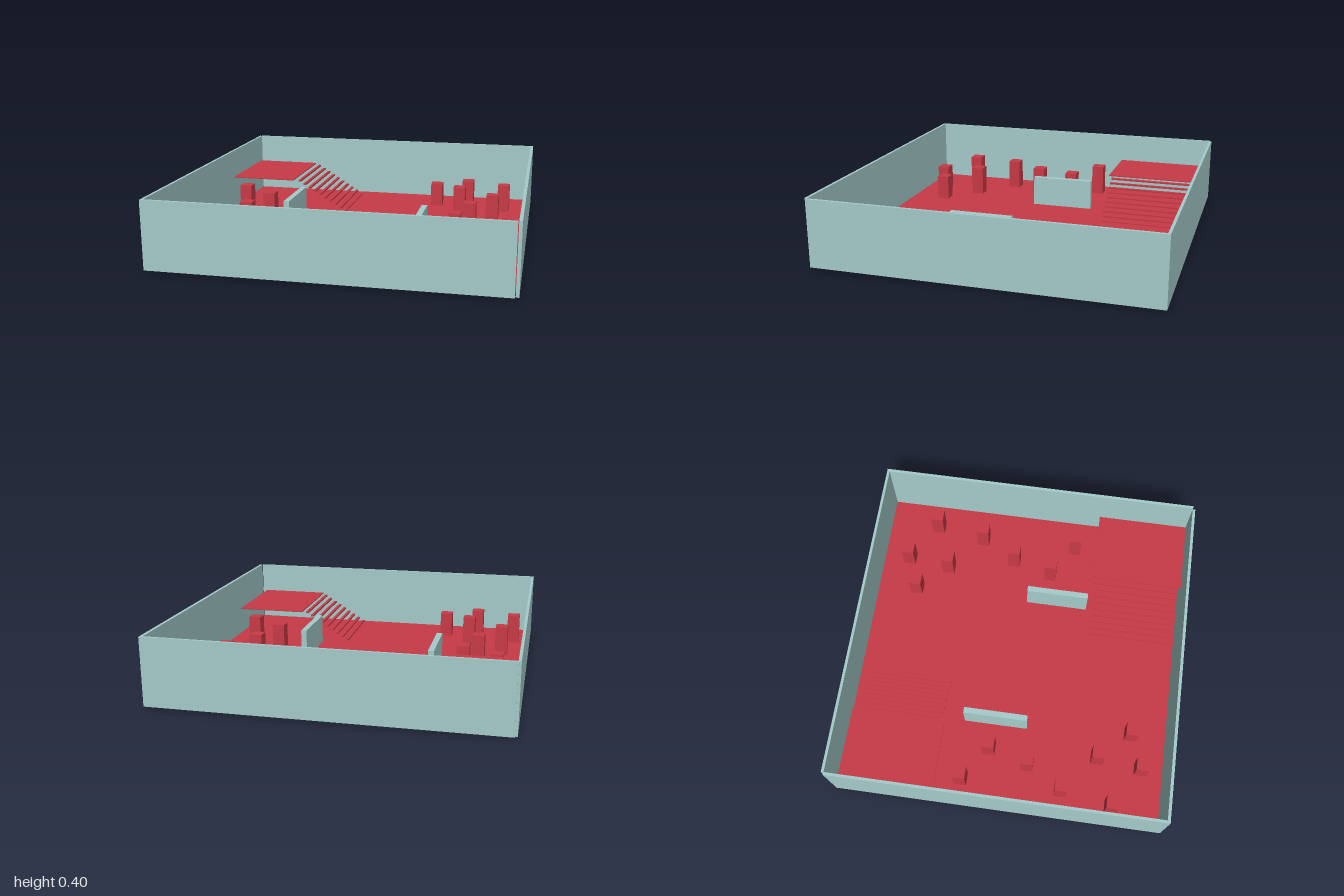
import * as THREE from 'three';

export function createModel() {
  const model = new THREE.Group();
  model.name = 'walledArena';
  const red = new THREE.MeshStandardMaterial({ color: 0xc83a46 });
  const teal = new THREE.MeshStandardMaterial({ color: 0xa5cccb });

  // Box given by its min and max on each axis
  function block(name, material, [x0, x1], [y0, y1], [z0, z1], parent = model) {
    const mesh = new THREE.Mesh(new THREE.BoxGeometry(x1 - x0, y1 - y0, z1 - z0), material);
    mesh.position.set((x0 + x1) / 2, (y0 + y1) / 2, (z0 + z1) / 2);
    mesh.name = name;
    parent.add(mesh);
    return mesh;
  }

  // Floor slab
  block('floor', red, [-0.982, 0.978], [0.012, 0.018], [-0.973, 0.968]);

  // Outer walls, overlapping in a pinwheel at the corners
  const wallY = [0.01, 0.403];
  block('frontWall', teal, [-0.998, 0.976], wallY, [0.967, 0.984]);
  block('backWall', teal, [-0.984, 0.98], wallY, [-0.99, -0.974]);
  block('leftWall', teal, [0.98, 0.998], wallY, [-0.99, 0.97]);
  block('rightWall', teal, [-0.998, -0.982], wallY, [-0.976, 0.967]);

  // Free-standing cover walls
  block('coverWallRight', teal, [-0.478, -0.443], [0.009, 0.205], [-0.272, 0.115]);
  block('coverWallLeft', teal, [0.365, 0.4], [0.009, 0.2], [0.002, 0.386]);

  // Raised platform with a flight of floating steps descending from it
  function flight(name, platformX, platformZ, topY, firstX, dx, lowY, stepZ) {
    const group = new THREE.Group();
    group.name = name;
    block('platform', red, platformX, [topY - 0.006, topY], platformZ, group);
    const count = 10;
    for (let i = 0; i < count; i++) {
      const x = firstX + dx * i;
      const y = lowY + (topY - 0.012 - lowY) * (1 - i / (count - 1));
      block('step', red, [x - 0.009, x + 0.009], [y - 0.005, y + 0.005], stepZ, group);
    }
    model.add(group);
    return group;
  }
  const backStairs = flight('backStairs', [-0.98, -0.558], [-0.93, -0.37], 0.226,
    -0.522, 0.0345, 0.02, [-0.905, -0.395]);
  // The back flight sits very slightly askew
  const pivot = new THREE.Vector3(-0.6, 0, -0.65);
  backStairs.rotation.y = -0.009;
  backStairs.position.copy(pivot).sub(pivot.clone().applyEuler(backStairs.rotation));
  flight('frontStairs', [0.511, 0.945], [0.4, 0.96], 0.215,
    0.483, -0.0345, 0.005, [0.425, 0.935]);

  // Pillars: x, z, top height
  const pillars = [
    [-0.838, -0.24, 0.21], [-0.632, -0.098, 0.205], [-0.7, 0.146, 0.203], [-0.828, 0.366, 0.205],
    [-0.602, 0.564, 0.2], [-0.887, 0.677, 0.2], [-0.428, 0.753, 0.17], [-0.636, 0.833, 0.18],
    [0.367, -0.722, 0.17], [0.573, -0.805, 0.18], [0.824, -0.652, 0.195], [0.54, -0.54, 0.195],
    [0.77, -0.343, 0.2], [0.647, -0.12, 0.2], [0.579, 0.127, 0.2], [0.787, 0.265, 0.203],
  ];
  for (const [x, z, top] of pillars) {
    block('pillar', red, [x - 0.038, x + 0.038], [0.011, top], [z - 0.038, z + 0.038]);
  }

  return model;
}
